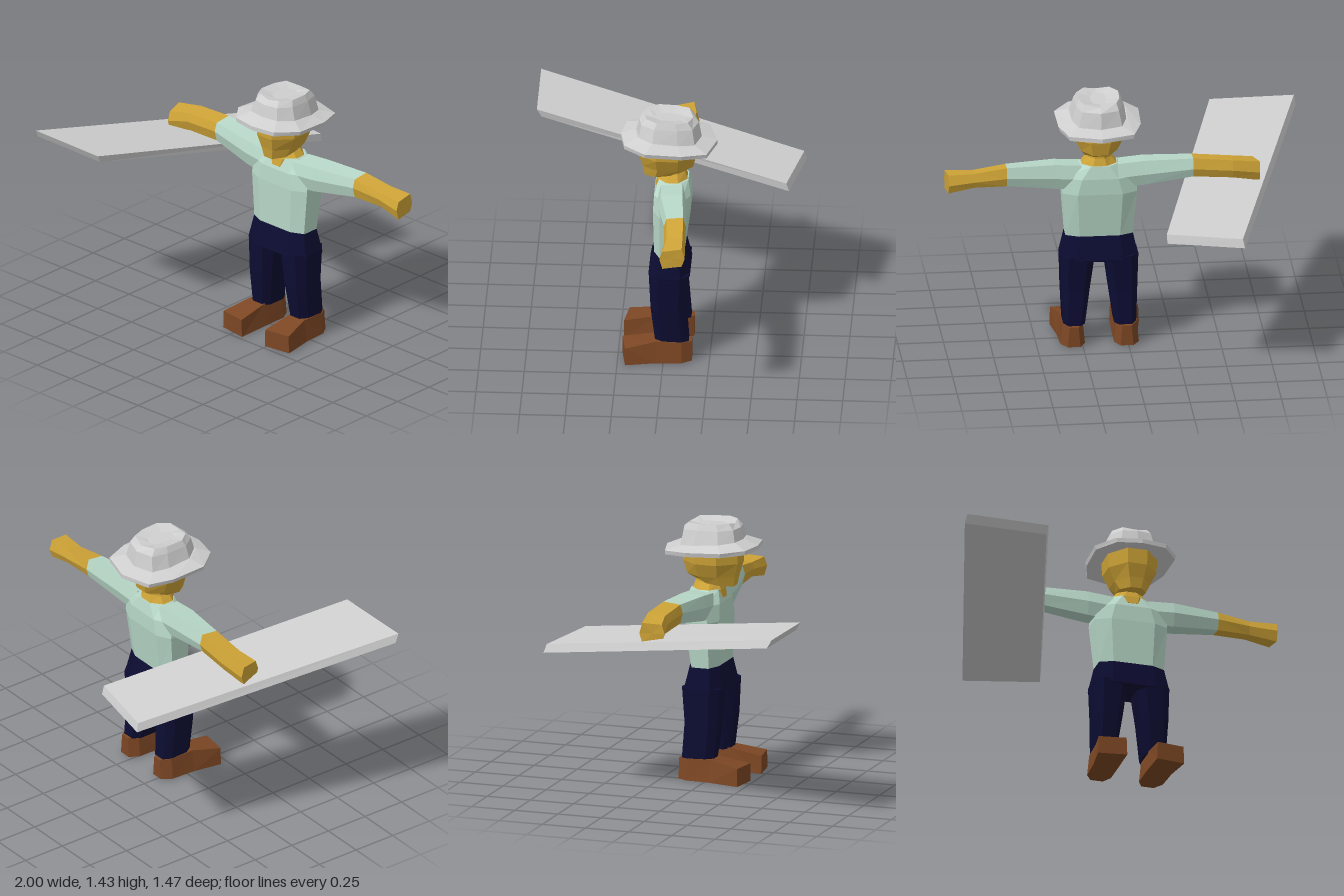
import * as THREE from 'three';

const mat = (name, color) => {
  const m = new THREE.MeshStandardMaterial({ color, flatShading: true });
  m.name = name;
  return m;
};

// Skin a list of equal-length rings of [x, y, z] points, capped at both ends
function loft(name, rings, material) {
  const n = rings[0].length;
  const tris = [];
  for (let r = 0; r < rings.length - 1; r++) {
    for (let i = 0; i < n; i++) {
      const j = (i + 1) % n;
      const a = rings[r][i], b = rings[r][j], c = rings[r + 1][j], d = rings[r + 1][i];
      tris.push([a, b, c], [a, c, d]);
    }
  }
  const cap = (ring, flip) => {
    const mid = [0, 1, 2].map(k => ring.reduce((s, p) => s + p[k], 0) / n);
    ring.forEach((p, i) => {
      const q = ring[(i + 1) % n];
      tris.push(flip ? [mid, q, p] : [mid, p, q]);
    });
  };
  cap(rings[0], true);
  cap(rings[rings.length - 1], false);
  // Signed volume tells whether the winding faces outward
  const v = p => new THREE.Vector3(...p);
  const volume = tris.reduce((s, [a, b, c]) => s + v(a).dot(v(b).cross(v(c))), 0);
  if (volume < 0) tris.forEach(t => t.reverse());
  const g = new THREE.BufferGeometry();
  g.setAttribute('position', new THREE.Float32BufferAttribute(tris.flat(2), 3));
  g.computeVertexNormals();
  const mesh = new THREE.Mesh(g, material);
  mesh.name = name;
  return mesh;
}

// Horizontal box section with cut corners: x0..x1, back z0 to front z1
function oct(y, x0, x1, z0, z1, cut = 0.3) {
  const cx = (x1 - x0) * cut, cz = (z1 - z0) * cut;
  return [
    [x0 + cx, y, z1], [x1 - cx, y, z1], [x1, y, z1 - cz], [x1, y, z0 + cz],
    [x1 - cx, y, z0], [x0 + cx, y, z0], [x0, y, z0 + cz], [x0, y, z1 - cz],
  ];
}

// Arm section across x, slightly ridged at front and back
function armRing(x, y0, y1, z0, z1, skew = 0) {
  const m = (y0 + y1) / 2, t = (z1 - z0) * 0.12;
  return [
    [x, y1, z0 + t], [x + skew, y1 - 0.01, z1 - t], [x + skew, m, z1],
    [x + skew, y0, z1 - t], [x, y0 + 0.01, z0 + t], [x, m, z0],
  ];
}

// Ten-sided hat outline, tilted down toward the back
const hatOutline = [
  [0, 0.24], [0.135, 0.215], [0.22, 0.1], [0.215, -0.1], [0.17, -0.235],
  [0, -0.285], [-0.17, -0.235], [-0.215, -0.1], [-0.22, 0.1], [-0.135, 0.215],
];
const hatRing = (y, sx, sz, tilt = 0.055) => hatOutline.map(([x, z]) => {
  const zz = -0.022 + (z + 0.022) * sz;
  return [x * sx, y + zz * tilt, zz];
});

export function createModel() {
  const skin = mat('skin', 0xcfa437);
  const shirt = mat('mint shirt', 0xb8d8c8);
  const navy = mat('navy trousers', 0x0c0c32);
  const leather = mat('brown leather', 0x7d4724);
  const grey = mat('light grey', 0xcfcfcf);

  const model = new THREE.Group();
  const figure = new THREE.Group();
  figure.name = 'figure';
  figure.position.x = 0.155;
  model.add(figure);

  // Torso and hips
  figure.add(loft('torso', [
    oct(0.63, -0.185, 0.185, -0.11, 0.055, 0.2),
    oct(0.89, -0.205, 0.205, -0.145, 0.06, 0.2),
    oct(0.98, -0.2, 0.2, -0.145, 0.055, 0.25),
    oct(1.05, -0.1, 0.1, -0.13, 0.03, 0.25),
  ], shirt));
  figure.add(loft('hips', [
    oct(0.635, -0.185, 0.185, -0.112, 0.057, 0.2),
    oct(0.5, -0.213, 0.213, -0.142, 0.085, 0.2),
    oct(0.49, -0.2, 0.2, -0.13, 0.07, 0.2),
  ], navy));

  // Legs and shoes, mirrored
  for (const s of [1, -1]) {
    const side = s > 0 ? 'left' : 'right';
    const flip = ring => ring.map(([x, y, z]) => [x * s, y, z]);
    figure.add(loft(side + 'Leg', [
      oct(0.52, 0.025, 0.213, -0.138, 0.08, 0.22),
      oct(0.32, 0.052, 0.208, -0.122, 0.07, 0.22),
      oct(0.12, 0.08, 0.2, -0.138, 0.045, 0.22),
    ].map(flip), navy));
    // Sole-to-top sections running from heel to toe
    const shoeRing = (z, xi, xo, top, inset, skew = 0) => [
      [xi, 0.005, z], [xo, 0.005, z - skew],
      [xo - inset, top, z - skew], [xi + inset, top, z],
    ];
    figure.add(loft(side + 'Shoe', [
      shoeRing(-0.155, 0.11, 0.18, 0.12, 0.01),
      shoeRing(-0.1, 0.08, 0.215, 0.125, 0.012),
      shoeRing(0.04, 0.08, 0.222, 0.13, 0.015),
      shoeRing(0.228, 0.085, 0.245, 0.1, 0.004, 0.022),
    ].map(r => r.map(p => [p[0], p[2] > 0.2 && p[1] < 0.01 ? 0 : p[1], p[2]])).map(flip), leather));
  }

  // Arms: sleeve, then bare forearm with hand
  const cuffL = armRing(0.51, 0.945, 1.06, -0.14, -0.02);
  figure.add(loft('leftSleeve', [
    armRing(0.1, 0.9, 1.05, -0.12, 0.035),
    armRing(0.245, 0.91, 1.06, -0.125, 0.03), cuffL,
  ], shirt));
  figure.add(loft('leftForearm', [
    cuffL,
    armRing(0.69, 0.945, 1.035, -0.145, -0.03),
    armRing(0.83, 0.918, 1.033, -0.15, -0.012, 0.012),
  ], skin));
  const cuffR = armRing(-0.51, 0.96, 1.075, -0.138, -0.01);
  figure.add(loft('rightSleeve', [
    armRing(-0.1, 0.9, 1.05, -0.12, 0.035),
    armRing(-0.245, 0.915, 1.065, -0.125, 0.03), cuffR,
  ], shirt));
  figure.add(loft('rightForearm', [
    cuffR,
    armRing(-0.725, 0.95, 1.06, -0.15, -0.02),
    armRing(-0.875, 0.92, 1.04, -0.13, 0.005, 0.03),
  ], skin));

  // Neck and head
  figure.add(loft('neck', [
    oct(1.0, -0.07, 0.07, -0.12, 0.05),
    oct(1.045, -0.1, 0.1, -0.125, 0.04),
    oct(1.09, -0.065, 0.065, -0.11, 0.02),
    oct(1.14, -0.065, 0.065, -0.11, 0.02),
  ], skin));
  figure.add(loft('head', [
    oct(1.08, -0.075, 0.075, -0.09, 0.11).map(([x, y, z]) => [x, y - z * 0.12, z]),
    oct(1.125, -0.1, 0.1, -0.155, 0.12),
    oct(1.2, -0.135, 0.135, -0.172, 0.14),
    oct(1.3, -0.142, 0.142, -0.18, 0.142),
  ], skin));

  // Brimmed hat with a dented crown
  figure.add(loft('hatBrim', [
    hatRing(1.278, 0.66, 0.66),
    hatRing(1.264, 1.02, 1),
    hatRing(1.288, 1.05, 1),
    hatRing(1.315, 0.72, 0.7, 0.1),
  ], grey));
  figure.add(loft('hatCrown', [
    hatRing(1.3, 0.71, 0.69, 0.1),
    hatRing(1.39, 0.59, 0.62, 0.04),
    hatRing(1.424, 0.52, 0.5, 0.03).map(([x, y, z]) => [x, y - (Math.abs(x) < 0.03 ? 0.012 : 0), z]),
    hatRing(1.408, 0.2, 0.3, 0.03),
  ], grey));

  // Sloping flat board under the right hand
  figure.parent.add(loft('board', [
    [[-1, 1.03, 0.71], [-0.535, 1.025, 0.71], [-0.16, 0.8, -0.66], [-0.577, 0.787, -0.737]],
    [[-0.992, 1.076, 0.735], [-0.53, 1.07, 0.735], [-0.158, 0.848, -0.645], [-0.567, 0.835, -0.722]],
  ], grey));

  return model;
}
